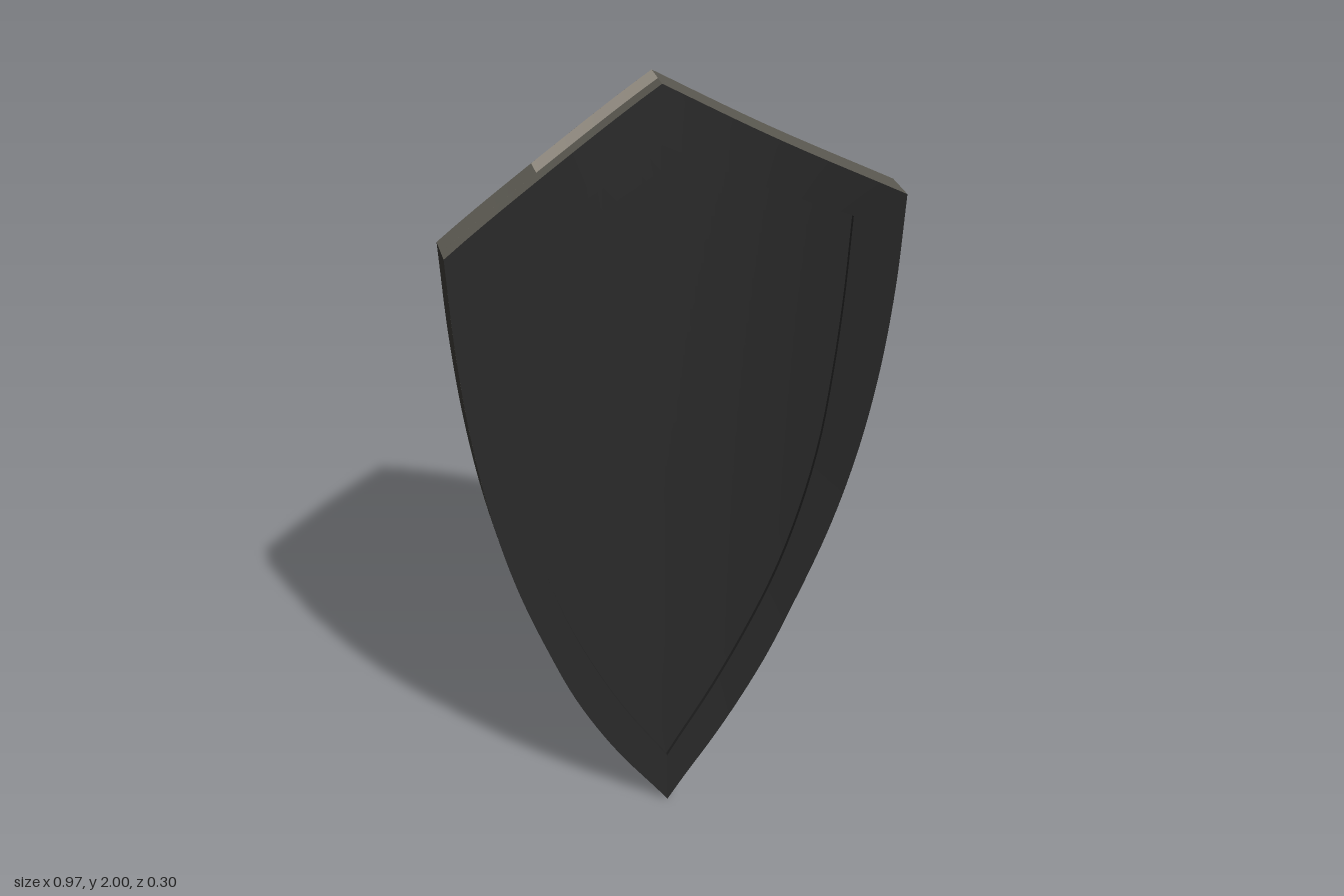
import * as THREE from 'three';

const mat = (name, color) => {
  const m = new THREE.MeshStandardMaterial({ color, side: THREE.DoubleSide });
  m.name = name;
  return m;
};
const M = {
  light: mat('paleTaupe', 0x9c958a),
  dark: mat('charcoal', 0x272727),
  inside: mat('darkLining', 0x292929),
  rim: mat('rimIron', 0x5c5a52),
  worn: mat('wornIron', 0x747065),
  edge: mat('edgeIron', 0x3e3d39),
};
const lerp = THREE.MathUtils.lerp;

// Half-widths at even heights between two levels, with a guide point past each end
const widthCurve = (y0, y1, widths) => {
  const n = widths.length - 1;
  const all = [-widths[1], ...widths, 2 * widths[n] - widths[n - 1]];
  const curve = new THREE.SplineCurve(all.map((w, i) => new THREE.Vector2(w, i)));
  return (y) => curve.getPoint((1 + n * THREE.MathUtils.clamp((y - y0) / (y1 - y0), 0, 1)) / (n + 2)).x;
};
const outline = (y0, y1, top, widths) => ({ y0, y1, top, width: widthCurve(y0, y1, widths) });
const OUT = outline(0, 1.76, 2, [0, 0.134, 0.238, 0.315, 0.38, 0.428, 0.46, 0.478, 0.485]);
const INN = outline(0.16, 1.7, 1.87, [0, 0.108, 0.195, 0.265, 0.315, 0.35, 0.37, 0.383, 0.39]);
const BACK = outline(0.13, 1.715, 1.885, [0, 0.12, 0.21, 0.281, 0.333, 0.37, 0.391, 0.404, 0.41]);
const SAG = 0.016;

// Curved shell: hollow face towards +z, bulging face towards -z
const zFront = (x, y) => 0.05 - 0.025 * y + 0.6 * x * x;
const zMiddle = (x, y) => zFront(x, y) - 0.03;
const zBack = (x, y) => zFront(x, y) - 0.075;
const zLining = (x, y) => zFront(x, y) - 0.009;
const zRaised = (x, y) => zBack(x, y) - 0.008;
const zBorder = (x, y) => zBack(x, y) + 0.015;

// Points on an outline: along the side, then along the top edge
const sidePoint = (o, t) => {
  const y = lerp(o.y0, o.y1, t);
  return [o.width(y), y];
};
const topPoint = (o, t) => [o.width(o.y1) * (1 - t), lerp(o.y1, o.top, t) - SAG * Math.sin(Math.PI * t)];

// Smooth sheet from a rule (u, v) -> [x, y, z]; s = -1 mirrors it
function sheet(name, material, nu, nv, s, rule) {
  const pos = [], idx = [];
  for (let j = 0; j <= nv; j++) {
    for (let i = 0; i <= nu; i++) {
      const [x, y, z] = rule(i / nu, j / nv);
      pos.push(s * x, y, z);
      if (i < nu && j < nv) {
        const a = j * (nu + 1) + i, b = a + 1, c = a + nu + 1, d = c + 1;
        if (s > 0) idx.push(a, b, d, a, d, c);
        else idx.push(a, d, b, a, c, d);
      }
    }
  }
  const g = new THREE.BufferGeometry();
  g.setAttribute('position', new THREE.Float32BufferAttribute(pos, 3));
  g.setIndex(idx);
  g.computeVertexNormals();
  const mesh = new THREE.Mesh(g, material);
  mesh.name = name;
  return mesh;
}

// Ridge line of the bulging face: [height, depth]
const RIDGE = [[0.13, -0.022], [0.5, -0.07], [0.9, -0.1], [1.2, -0.11], [1.6, -0.118], [1.8, -0.1], [1.885, -0.075]];
function ridgeZ(y) {
  const i = Math.max(1, RIDGE.findIndex(([h]) => y <= h + 1e-6));
  const [ya, za] = RIDGE[i - 1], [yb, zb] = RIDGE[i];
  return lerp(za, zb, (y - ya) / (yb - ya));
}

function rim(s) {
  const g = new THREE.Group();
  g.name = 'rim';
  for (const [part, point, n] of [['side', sidePoint, 28], ['top', topPoint, 10]]) {
    const strip = (name, material, a, za, b, zb, from = 0, to = 1) =>
      g.add(sheet(part + name, material, 1, n, s, (u, v) => {
        const t = lerp(from, to, v), p = point(a, t), q = point(b, t);
        return [lerp(p[0], q[0], u), lerp(p[1], q[1], u), lerp(za(...p), zb(...q), u)];
      }));
    const top = part === 'top';
    strip('RimFront', M.inside, INN, zFront, OUT, zFront);
    strip('RimBack', top ? M.worn : M.rim, OUT, zBack, BACK, zRaised);
    strip('RimBackStep', M.edge, BACK, zRaised, BACK, zBorder);
    strip('RimFrontStep', M.inside, INN, zLining, INN, zFront);
    // outer edge: darker towards the tip, a worn patch at the top right
    if (top) {
      strip('EdgeFront', M.rim, OUT, zFront, OUT, zMiddle);
      strip('EdgeBack', M.rim, OUT, zMiddle, OUT, zBack, 0, 0.45);
      strip('EdgePatch', s < 0 ? M.light : M.rim, OUT, zMiddle, OUT, zBack, 0.45, 1);
    } else {
      strip('EdgeLower', M.inside, OUT, zFront, OUT, zBack, 0, 0.6);
      strip('EdgeUpper', M.edge, OUT, zFront, OUT, zBack, 0.6, 1);
    }
  }
  return g;
}

// Counterchanged chevron bands, from the bottom tip to the top
const AXIS_Y = [BACK.y0, 1.13, 1.36, 1.57, BACK.top];
function panel(s) {
  const g = new THREE.Group();
  g.name = 'panel';
  const sideY = [BACK.y0, s > 0 ? 0.78 : 0.74, 0.96, 1.17, BACK.y1];
  const at = (o, u, ya, ys, sag) => [u * o.width(ys), lerp(ya, ys, u) - sag * Math.sin(Math.PI * u)];
  for (let k = 0; k < 4; k++) {
    const light = (k % 2 === 0) === (s > 0);
    g.add(sheet('chevronBand', light ? M.light : M.dark, 14, k % 3 ? 6 : 18, s, (u, v) => {
      const ya = lerp(AXIS_Y[k], AXIS_Y[k + 1], v), ys = lerp(sideY[k], sideY[k + 1], v);
      const top = k === 3 ? v ** 8 : 0;
      const [x, y] = at(BACK, 1 - u, ya, ys, SAG * top);
      // the top row follows the rim, the rest swells towards the ridge
      const border = lerp(zBorder(BACK.width(ys), ys), zBorder(x, y), top);
      return [x, y, border + (ridgeZ(ya) - border) * (1 - (1 - u) ** 1.5) * (1 - top)];
    }));
  }
  g.add(sheet('panelLining', M.inside, 12, 28, s, (u, v) => {
    const [x, y] = at(INN, u, lerp(INN.y0, INN.top, v), lerp(INN.y0, INN.y1, v), SAG * v ** 6);
    return [x, y, zLining(x, y)];
  }));
  return g;
}

// Faceted spike on the ridge, one mesh per face
function spike(s) {
  const g = new THREE.Group();
  g.name = 'ridgeSpike';
  const apex = [0, 1.61, -0.152], wing = [0.052, 1.6, -0.108];
  const upper = [0, 1.85, -0.082], lower = [0, 1.2, -0.111];
  const face = (name, material, a, b, c) => {
    const geo = new THREE.BufferGeometry();
    const pts = (s > 0 ? [a, b, c] : [a, c, b]).flatMap(([x, y, z]) => [s * x, y, z]);
    geo.setAttribute('position', new THREE.Float32BufferAttribute(pts, 3));
    geo.computeVertexNormals();
    const m = new THREE.Mesh(geo, material);
    m.name = name;
    g.add(m);
  };
  face('spikeUpper', s > 0 ? M.dark : M.light, apex, upper, wing);
  face('spikeLower', s > 0 ? M.light : M.dark, apex, wing, lower);
  return g;
}

function rivets() {
  const g = new THREE.Group();
  g.name = 'rivets';
  const geo = new THREE.SphereGeometry(0.025, 10, 8);
  const add = (x, y) => {
    const m = new THREE.Mesh(geo, M.edge);
    m.name = 'rivet';
    m.position.set(x, y, zBack(x, y) - 0.007);
    g.add(m);
  };
  add(0, 1.935);
  add(0, 0.085);
  const heights = [1.72, 1.45, 1.23, 0.97, 0.74, 0.54, 0.38, 0.22];
  for (const s of [1, -1]) {
    for (const y of s > 0 ? [1.6, ...heights] : heights) add(s * (OUT.width(y) + INN.width(y)) / 2, y);
    for (const t of [0.22, 0.43, 0.68]) {
      const p = topPoint(OUT, t), q = topPoint(INN, t);
      add(s * (p[0] + q[0]) / 2, (p[1] + q[1]) / 2);
    }
  }
  return g;
}

export function createModel() {
  const shield = new THREE.Group();
  shield.name = 'shield';
  for (const s of [1, -1]) shield.add(rim(s), panel(s), spike(s));
  shield.add(rivets());
  return shield;
}
